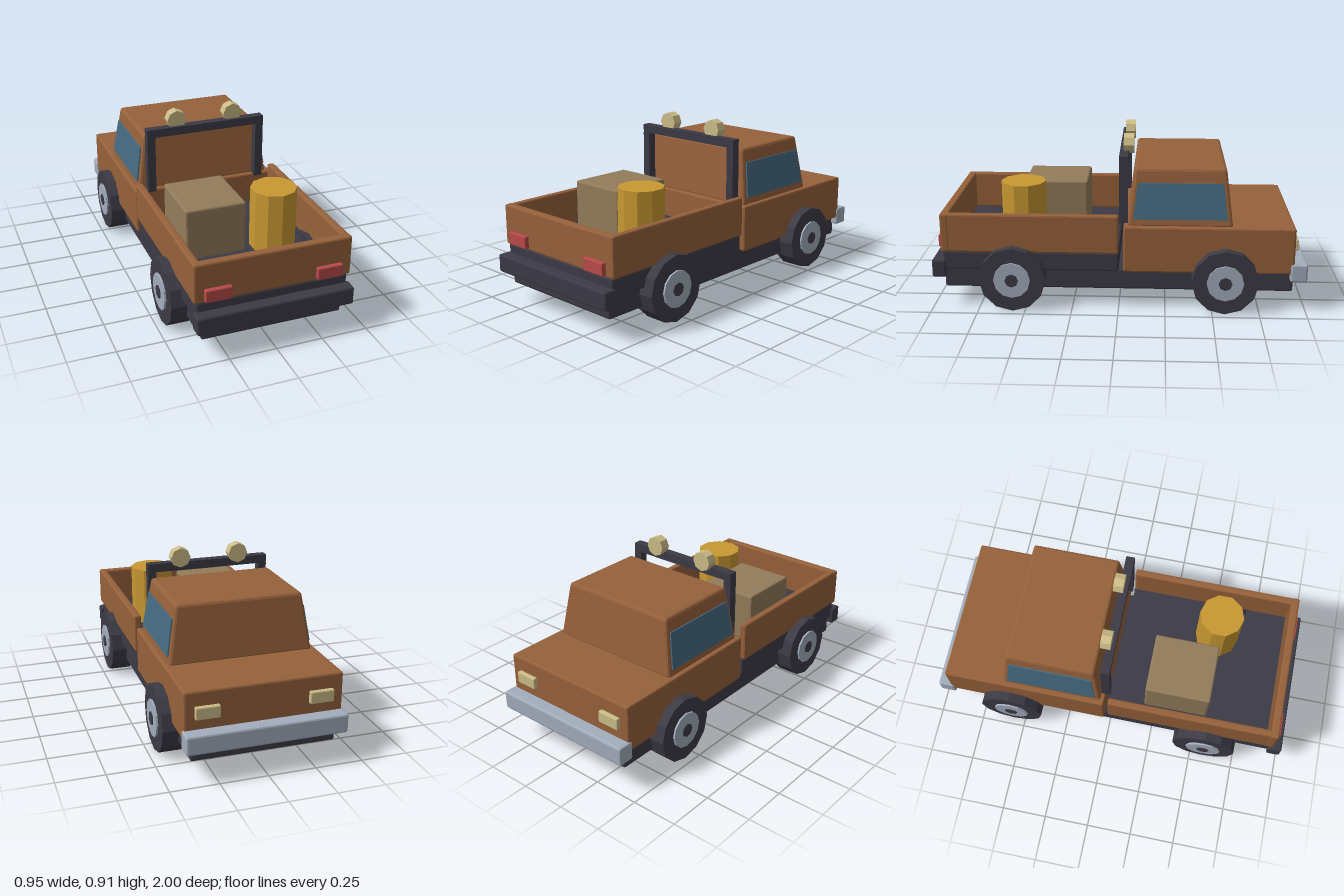
import * as THREE from 'three';
import { RoundedBoxGeometry } from 'three/addons/geometries/RoundedBoxGeometry.js';

const mat = (name, color) => {
  const m = new THREE.MeshStandardMaterial({ color });
  m.name = name;
  return m;
};

// chamfered box with flat facets, given by its min and max corners
function chamferBox(x0, x1, y0, y1, z0, z1, bevel = 0.01) {
  const g = new RoundedBoxGeometry(x1 - x0, y1 - y0, z1 - z0, 1, bevel);
  g.translate((x0 + x1) / 2, (y0 + y1) / 2, (z0 + z1) / 2);
  g.computeVertexNormals();
  return g;
}

// narrow a geometry linearly in x and z from y0 up to y1 around the line z = zc
function taper(g, y0, y1, sx, sz, zc) {
  const p = g.attributes.position;
  for (let i = 0; i < p.count; i++) {
    const t = (p.getY(i) - y0) / (y1 - y0);
    p.setX(i, p.getX(i) * (1 + (sx - 1) * t));
    p.setZ(i, zc + (p.getZ(i) - zc) * (1 + (sz - 1) * t));
  }
  g.computeVertexNormals();
  return g;
}

// faceted cylinder with flat normals
function facetCylinder(r, h, sides) {
  const g = new THREE.CylinderGeometry(r, r, h, sides).toNonIndexed();
  g.computeVertexNormals();
  return g;
}

export function createModel() {
  const truck = new THREE.Group();
  truck.name = 'pickupTruck';

  const brown = mat('brown paint', 0x96613b);
  const dark = mat('dark trim', 0x3c3b46);
  const chrome = mat('chrome', 0xa3adbd);
  const glass = mat('window glass', 0x456a80);
  const cream = mat('lamp cream', 0xcdbd88);
  const red = mat('tail red', 0xb94a4a);
  const tan = mat('crate tan', 0x937c5b);
  const gold = mat('barrel gold', 0xc89932);

  const add = (name, geometry, material, parent = truck) => {
    const mesh = new THREE.Mesh(geometry, material);
    mesh.name = name;
    parent.add(mesh);
    return mesh;
  };
  const box = (name, material, ...size) => add(name, chamferBox(...size), material);

  // Frame and bumpers (the nose points to -z)
  box('chassis', dark, -0.375, 0.375, 0.10, 0.215, -0.93, 0.94);
  box('frontBumper', chrome, -0.415, 0.415, 0.168, 0.268, -1.0, -0.91);
  box('rearBumper', dark, -0.415, 0.415, 0.168, 0.265, 0.925, 1.0);

  // Cab: lower body with hood, and tapered upper cabin
  box('lowerBody', brown, -0.408, 0.408, 0.21, 0.465, -0.93, -0.025);
  add('cabin', taper(chamferBox(-0.385, 0.385, 0.455, 0.765, -0.602, -0.045, 0.015),
    0.455, 0.765, 0.87, 0.86, -0.324), brown);

  // Cargo bed: floor, side walls and tailgate, open towards the cab
  box('bedFloor', dark, -0.4, 0.4, 0.21, 0.315, 0.0, 0.94);
  for (const s of [-1, 1]) {
    box('bedSide', brown, s * 0.393 - 0.02, s * 0.393 + 0.02, 0.312, 0.525, 0.0, 0.94);
  }
  box('tailgate', brown, -0.415, 0.415, 0.312, 0.525, 0.9, 0.945);

  // Roll bar with two spotlights
  for (const s of [-1, 1]) {
    add('rollBarPost', new THREE.BoxGeometry(0.045, 0.32, 0.047)
      .translate(s * 0.317, 0.62, -0.0235), dark);
    add('spotlight', facetCylinder(0.054, 0.055, 8)
      .rotateX(Math.PI / 2).translate(s * 0.163, 0.857, -0.0475), cream);
  }
  add('rollBarTop', new THREE.BoxGeometry(0.678, 0.046, 0.047)
    .translate(0, 0.803, -0.0235), dark);

  for (const s of [-1, 1]) {
    // Side windows follow the lean of the cabin
    const pane = taper(new THREE.BoxGeometry(0.008, 0.19, 0.495).toNonIndexed()
      .translate(0, 0.595, -0.324), 0.5, 0.69, 1, 0.91, -0.324);
    const p = pane.attributes.position;
    for (let i = 0; i < p.count; i++) {
      p.setX(i, p.getX(i) + s * (0.381 - (p.getY(i) - 0.5) * 0.1615));
    }
    pane.computeVertexNormals();
    add('sideWindow', pane, glass);

    // Lamps
    add('headlight', chamferBox(s * 0.292 - 0.063, s * 0.292 + 0.063,
      0.323, 0.388, -0.952, -0.92, 0.006), cream);
    add('tailLight', chamferBox(s * 0.293 - 0.069, s * 0.293 + 0.069,
      0.323, 0.39, 0.935, 0.968, 0.006), red);

    // Wheels: tyre, hub and cap
    for (const z of [-0.565, 0.565]) {
      const wheel = new THREE.Group();
      wheel.name = 'wheel';
      wheel.position.set(s * 0.4, 0.177, z);
      truck.add(wheel);
      const disc = (name, r, w, x, sides, m) => add(name,
        facetCylinder(r, w, sides).rotateZ(Math.PI / 2).translate(s * x, 0, 0), m, wheel);
      disc('tyre', 0.177, 0.12, 0, 12, dark);
      disc('hub', 0.098, 0.03, 0.055, 12, chrome);
      disc('hubCap', 0.036, 0.03, 0.06, 8, dark);
    }
  }

  // Cargo
  box('crate', tan, -0.312, 0.015, 0.31, 0.595, 0.19, 0.545);
  add('barrel', facetCylinder(0.122, 0.335, 10).translate(0.175, 0.4785, 0.525), gold);

  return truck;
}
